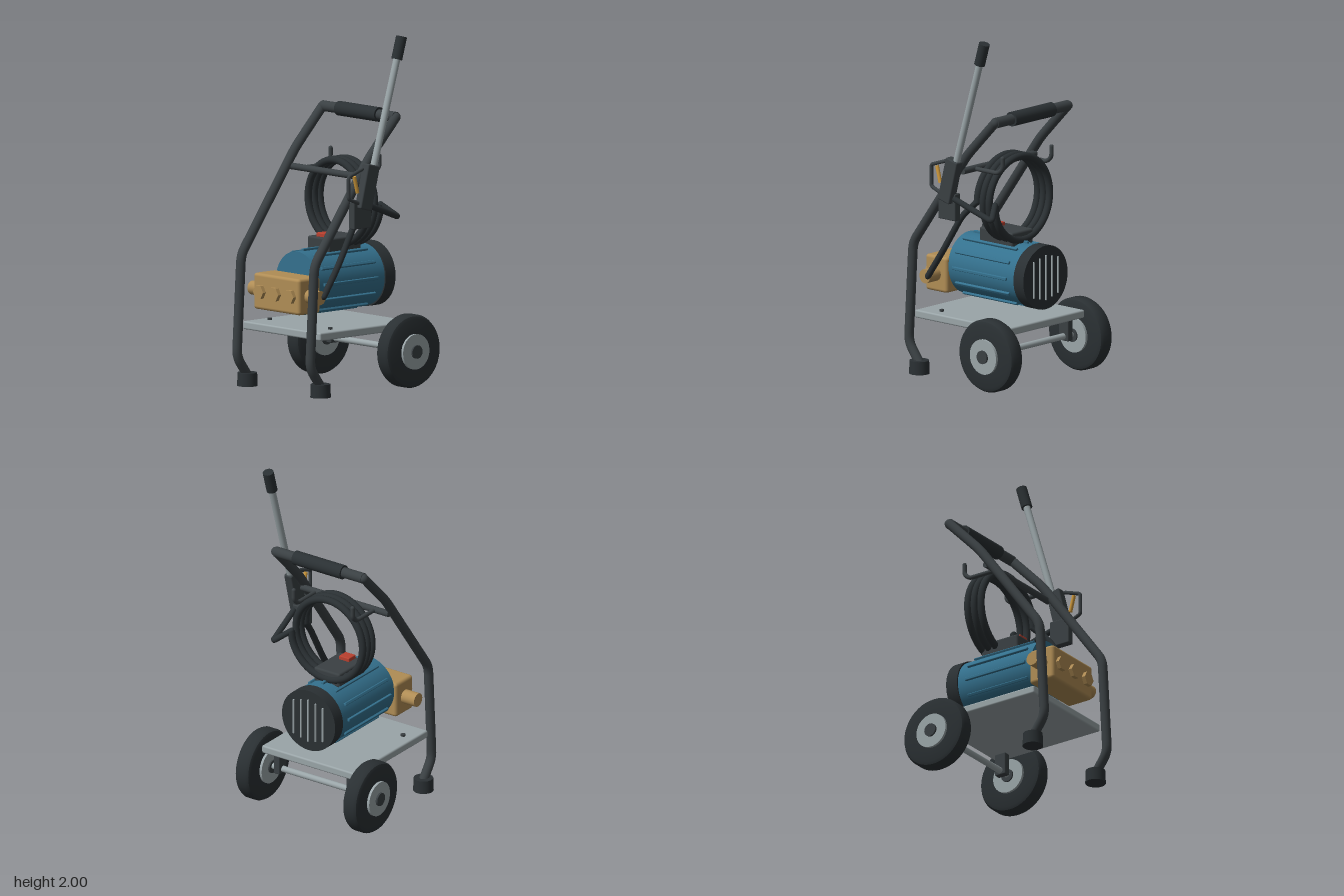
import * as THREE from 'three';
import { RoundedBoxGeometry } from 'three/addons/geometries/RoundedBoxGeometry.js';
import { toCreasedNormals } from 'three/addons/utils/BufferGeometryUtils.js';

const V = (x, y, z) => new THREE.Vector3(x, y, z);
const mat = (color) => new THREE.MeshStandardMaterial({ color });

export function createModel() {
  const model = new THREE.Group();
  const rubber = mat(0x2a3033), frameMat = mat(0x3a4043), steel = mat(0x9aa5a8);
  const blue = mat(0x34718e), brass = mat(0xb08d55), red = mat(0xb8402f), amber = mat(0xd09a3c);

  function add(name, geometry, material, pos = [0, 0, 0], parent = model) {
    const mesh = new THREE.Mesh(geometry, material);
    mesh.name = name;
    mesh.position.set(...pos);
    parent.add(mesh);
    return mesh;
  }
  const box = (name, size, pos, material, r = 0.008, parent = model) =>
    add(name, new RoundedBoxGeometry(...size, 2, r), material, pos, parent);

  // cylinder running between two points
  function rod(name, a, b, r, material, sides = 24, parent = model) {
    const dir = b.clone().sub(a);
    const mesh = add(name, new THREE.CylinderGeometry(r, r, dir.length(), sides), material,
      a.clone().add(b).multiplyScalar(0.5).toArray(), parent);
    mesh.quaternion.setFromUnitVectors(V(0, 1, 0), dir.normalize());
    return mesh;
  }

  // tube along straight runs with rounded bends, closed by round ends
  function bentTube(name, points, r, bend, material, parent = model) {
    const path = new THREE.CurvePath();
    let from = points[0];
    for (let i = 1; i < points.length - 1; i++) {
      const p = points[i];
      const cut = (q) => p.clone().add(q.clone().sub(p).setLength(Math.min(bend, q.distanceTo(p) * 0.45)));
      const a = cut(points[i - 1]), b = cut(points[i + 1]);
      path.add(new THREE.LineCurve3(from, a));
      path.add(new THREE.QuadraticBezierCurve3(a, p, b));
      from = b;
    }
    path.add(new THREE.LineCurve3(from, points.at(-1)));
    const group = new THREE.Group();
    group.name = name;
    parent.add(group);
    add(name + 'Run', new THREE.TubeGeometry(path, 72, r, 14), material, [0, 0, 0], group);
    for (const end of [points[0], points.at(-1)])
      add(name + 'End', new THREE.SphereGeometry(r, 14, 10), material, end.toArray(), group);
  }

  // base plate and axle
  box('basePlate', [0.64, 0.046, 0.705], [0, 0.342, 0.022], steel, 0.01);
  rod('axle', V(-0.34, 0.215, -0.25), V(0.34, 0.215, -0.25), 0.018, steel);

  // wheel profile: radius, offset along the axle
  const tyre = [[0.09, -0.05], [0.18, -0.05], [0.198, -0.043], [0.207, -0.028],
    [0.207, 0.028], [0.198, 0.043], [0.18, 0.05], [0.09, 0.05]].map((p) => new THREE.Vector2(...p));
  const tyreGeo = toCreasedNormals(new THREE.LatheGeometry(tyre, 48), 0.6);

  for (const s of [-1, 1]) {
    const side = s > 0 ? 'left' : 'right';
    // wheel
    const wheel = new THREE.Group();
    wheel.name = side + 'Wheel';
    wheel.position.set(s * 0.37, 0.21, -0.25);
    wheel.rotation.z = -s * Math.PI / 2;
    model.add(wheel);
    add('tyre', tyreGeo, rubber, [0, 0, 0], wheel);
    add('hub', new THREE.CylinderGeometry(0.1, 0.1, 0.13, 36), steel, [0, 0, 0], wheel);
    add('hubCap', new THREE.CylinderGeometry(0.038, 0.038, 0.15, 24), frameMat, [0, 0.001, 0], wheel);
    box(side + 'AxleBracket', [0.04, 0.13, 0.07], [s * 0.25, 0.255, -0.25], frameMat, 0.005);

    // frame upright, rubber foot, plate bolt and hose hook
    bentTube(side + 'Upright', [V(s * 0.302, 0.06, 0.355), V(s * 0.302, 0.17, 0.435), V(s * 0.302, 0.745, 0.402),
      V(s * 0.302, 1.31, -0.01), V(s * 0.302, 1.525, -0.218)], 0.027, 0.045, frameMat);
    add(side + 'Foot', new THREE.CylinderGeometry(0.055, 0.058, 0.075, 28), rubber, [s * 0.302, 0.0375, 0.355]);
    add(side + 'Bolt', new THREE.CylinderGeometry(0.014, 0.014, 0.014, 6), frameMat, [s * 0.25, 0.37, 0.233]);
    bentTube(side + 'HoseHook', [V(s * 0.202, 1.21, 0.03), V(s * 0.202, 1.21, -0.15),
      V(s * 0.202, 1.24, -0.185), V(s * 0.202, 1.3, -0.185)], 0.0125, 0.02, frameMat);

    // pump port
    rod(side + 'PumpPort', V(s * 0.17, 0.555, 0.335), V(s * 0.28, 0.555, 0.335), 0.04, brass);
  }

  // handle and crossbar
  rod('handleBar', V(-0.302, 1.525, -0.218), V(0.302, 1.525, -0.218), 0.03, frameMat);
  rod('handleGrip', V(-0.166, 1.525, -0.218), V(0.166, 1.525, -0.218), 0.041, rubber, 32);
  rod('crossbar', V(-0.3, 1.21, 0.03), V(0.3, 1.21, 0.03), 0.019, frameMat);

  // motor with cooling ribs and fan cover
  const motorY = 0.605;
  rod('motorBody', V(0, motorY, -0.26), V(0, motorY, 0.255), 0.175, blue, 48);
  for (let i = 0; i < 12; i++) {
    const a = i * Math.PI / 6;
    const rib = box('motorRib', [0.018, 0.026, 0.41],
      [Math.sin(a) * 0.175, motorY + Math.cos(a) * 0.175, 0.01], blue, 0.004);
    rib.rotation.z = -a;
  }
  rod('fanCover', V(0, motorY, -0.325), V(0, motorY, -0.25), 0.183, rubber, 48);
  for (let i = -2; i <= 2; i++)
    box('fanSlat', [0.009, 0.26 - Math.abs(i) * 0.025, 0.016], [i * 0.05, motorY, -0.326], steel, 0.003);

  // switch box
  box('switchBox', [0.178, 0.085, 0.25], [0, 0.803, -0.028], frameMat, 0.012);
  box('switchButton', [0.07, 0.03, 0.065], [0, 0.852, 0.046], red, 0.005);

  // pump block with hexagonal plugs
  box('pumpBlock', [0.38, 0.205, 0.165], [0, 0.555, 0.333], brass, 0.018);
  for (const x of [-0.125, 0, 0.125]) {
    const plug = add('pumpPlug', toCreasedNormals(new THREE.CylinderGeometry(0.042, 0.042, 0.04, 6), 0.5),
      brass, [x, 0.555, 0.418]);
    plug.rotation.set(Math.PI / 2, Math.PI / 6, 0, 'XYZ');
  }

  // coiled hose, three turns
  const coil = [];
  for (let i = 0; i <= 72; i++) {
    const a = i / 72 * Math.PI * 6;
    coil.push(V(Math.cos(a) * 0.237, 1.032 + Math.sin(a) * 0.237, -0.025 - 0.135 * i / 72));
  }
  add('hoseCoil', new THREE.TubeGeometry(new THREE.CatmullRomCurve3(coil), 216, 0.021, 12), rubber);
  bentTube('pumpHose', [V(0.28, 0.56, 0.31), V(0.278, 0.72, 0.2), V(0.265, 0.95, 0.06), V(0.237, 1.032, -0.025)],
    0.018, 0.06, rubber);
  bentTube('gunHose', [V(0.237, 1.032, -0.16), V(0.325, 0.965, -0.215), V(0.36, 1.07, 0.07)], 0.017, 0.02, rubber);

  // spray gun, tilted back, with its holder on the frame
  box('gunHolder', [0.045, 0.155, 0.13], [0.342, 1.01, 0.092], frameMat, 0.006);
  const gun = new THREE.Group();
  gun.name = 'sprayGun';
  gun.position.set(0.368, 1.165, 0.06);
  gun.rotation.x = -0.25;
  model.add(gun);
  box('gunBody', [0.054, 0.255, 0.09], [0, 0, 0], frameMat, 0.008, gun);
  bentTube('triggerGuard', [V(0.368, 1.27, 0.1), V(0.368, 1.235, 0.203), V(0.368, 1.11, 0.203), V(0.368, 1.07, 0.1)],
    0.0105, 0.015, frameMat);
  rod('trigger', V(0.368, 1.235, 0.16), V(0.368, 1.14, 0.135), 0.011, amber, 12);

  // lance and nozzle
  rod('lance', V(0.368, 1.25, 0.02), V(0.368, 1.88, -0.168), 0.02, steel);
  rod('nozzle', V(0.368, 1.865, -0.163), V(0.368, 1.99, -0.2), 0.031, rubber);
  return model;
}
